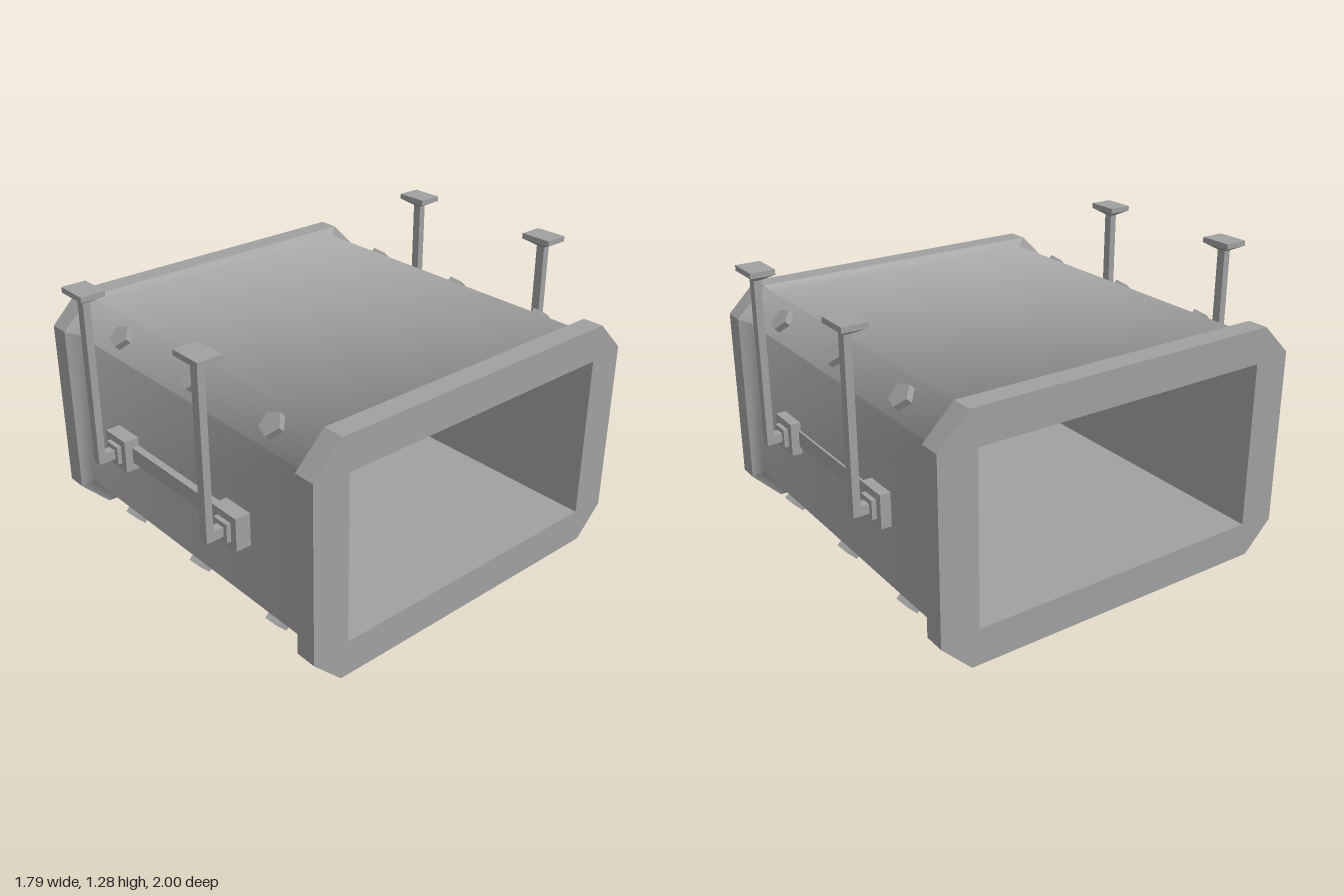
import * as THREE from 'three';
import { mergeGeometries, toCreasedNormals } from 'three/addons/utils/BufferGeometryUtils.js';

// Eight-sided outline as [z, y] points: up the front, over the top, down the back
function octagon(z0, z1, y0, y1, c) {
  return [[z1, y0 + c], [z1, y1 - c], [z1 - c, y1], [z0 + c, y1],
    [z0, y1 - c], [z0, y0 + c], [z0 + c, y0], [z1 - c, y0]];
}

// Skin through sections [x, outline]; each side is its own strip, smooth along x only
function loft(sections, crease = 0.1) {
  const n = sections[0][1].length;
  const strips = [];
  for (let i = 0; i < n; i++) {
    const j = (i + 1) % n;
    const pos = [];
    for (let s = 0; s < sections.length - 1; s++) {
      const [x0, p] = sections[s];
      const [x1, q] = sections[s + 1];
      const at = (x, [z, y]) => [x, y, z];
      const a = at(x0, p[i]), b = at(x1, q[i]), c = at(x1, q[j]), d = at(x0, p[j]);
      pos.push(...a, ...b, ...c, ...a, ...c, ...d);
    }
    const g = new THREE.BufferGeometry();
    g.setAttribute('position', new THREE.Float32BufferAttribute(pos, 3));
    g.computeVertexNormals();
    strips.push(toCreasedNormals(g, crease));
  }
  return mergeGeometries(strips);
}

export function createModel() {
  const model = new THREE.Group();
  const steel = new THREE.MeshStandardMaterial({ color: 0xa0a0a0 });
  steel.name = 'steel grey';

  function add(parent, name, geometry, x = 0, y = 0, z = 0) {
    const mesh = new THREE.Mesh(geometry, steel);
    mesh.name = name;
    mesh.position.set(x, y, z);
    parent.add(mesh);
    return mesh;
  }

  const END = 0.893, RIM = 0.797, WALL = 0.775;
  const flange = octagon(-0.88, 0.84, 0, 1.065, 0.135);
  const body = octagon(-0.83, 0.785, 0.035, 1.03, 0.123);
  const opening = [[0.67, 0.16], [0.67, 0.91], [-0.71, 0.91], [-0.71, 0.16]];

  // Duct shell with the sloped shoulders that meet the end flanges
  add(model, 'ductShell', loft([[-RIM, flange], [-WALL, body], [WALL, body], [RIM, flange]], 1.3));

  // Inner tunnel, facing inwards
  const inward = [...opening].reverse();
  add(model, 'tunnel', loft([[-END, inward], [END, inward]]));

  // End flanges: rim plus flat ring face
  for (const side of [-1, 1]) {
    const [x0, x1] = side > 0 ? [RIM, END] : [-END, -RIM];
    add(model, 'flangeRim', loft([[x0, flange], [x1, flange]]));
    const toPoint = ([z, y]) => new THREE.Vector2(-side * z, y);
    const ring = new THREE.Shape(flange.map(toPoint));
    ring.holes.push(new THREE.Path(opening.map(toPoint)));
    const face = new THREE.ShapeGeometry(ring);
    face.rotateY(side * Math.PI / 2);
    add(model, 'flangeFace', face, side * END);
  }

  // Five-sided bolts along the four chamfers
  const boltGeometry = new THREE.CylinderGeometry(0.054, 0.054, 0.05, 5).toNonIndexed();
  boltGeometry.computeVertexNormals();
  for (const front of [1, -1]) {
    for (const up of [1, -1]) {
      const z = front > 0 ? 0.7235 : -0.7685;
      const y = up > 0 ? 0.9685 : 0.0965;
      for (const x of [-0.49, up > 0 ? 0.035 : 0.015, 0.54]) {
        const holder = new THREE.Group();
        holder.name = 'bolt';
        holder.position.set(x, y, z);
        holder.rotation.x = front * (up > 0 ? Math.PI / 4 : 3 * Math.PI / 4);
        const bolt = add(holder, 'boltHead', boltGeometry, 0, 0.005, 0);
        bolt.rotation.y = front * up * Math.PI / 2;
        model.add(holder);
      }
    }
  }

  // Flared underside of the ceiling plates
  const flare = new THREE.CylinderGeometry(Math.SQRT1_2, 0.2, 0.028, 4, 1, true).rotateY(Math.PI / 4)
    .scale(0.15, 1, 0.11).toNonIndexed();
  flare.computeVertexNormals();

  // Hanger assembly on the front, turned round for the back
  for (const front of [1, -1]) {
    const hangers = new THREE.Group();
    hangers.name = front > 0 ? 'frontHangers' : 'backHangers';
    hangers.rotation.y = front > 0 ? 0 : Math.PI;
    const d = front > 0 ? 0 : 0.01;
    const box = (name, w, h, z0, z1, x, y) =>
      add(hangers, name, new THREE.BoxGeometry(w, h, z1 - z0), x, y, (z0 + z1) / 2);

    box('crossBar', 0.64, 0.073, 0.797 + d, 0.83 + d, 0, 0.51);
    for (const x of [-0.39, 0.393]) {
      box('wallPlate', 0.148, 0.148, 0.797 + d, 0.866 + d, x, 0.512);
      box('wallBoss', 0.083, 0.083, 0.866 + d, 0.886 + d, x, 0.512);
      box('bracketArm', 0.042, 0.042, 0.886, 0.932, x, 0.511);
      box('hangerRod', 0.042, 0.76, 0.932, 0.965, x, 0.87);
      add(hangers, 'ceilingPlateFlare', flare, x, 1.248, 0.946);
      box('ceilingPlate', 0.15, 0.024, 0.891, 1, x, 1.273);
    }
    model.add(hangers);
  }
  return model;
}
